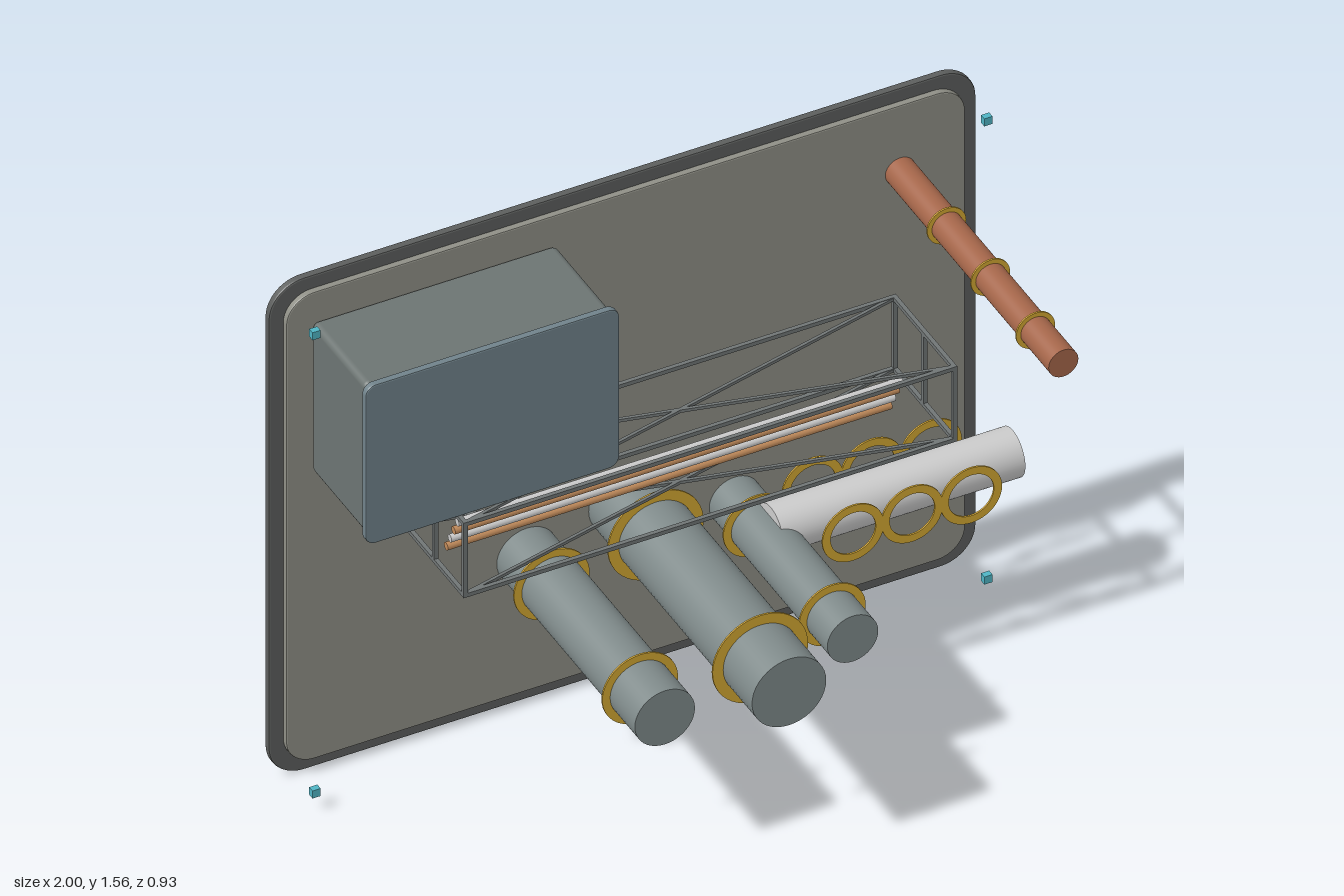
import * as THREE from 'three';
import { RoundedBoxGeometry } from 'three/addons/geometries/RoundedBoxGeometry.js';

const mat = (color) => new THREE.MeshStandardMaterial({ color });
const M = {
  backing: mat(0x5c5e5d), panel: mat(0x8f8f86), box: mat(0x6c7472), lid: mat(0x70828a),
  pipe: mat(0x7f8a8a), pale: mat(0xc4c4c4), copper: mat(0xa5664a), rod: mat(0xc08a5a),
  brass: mat(0xd4a832), frame: mat(0x707575), marker: mat(0x4fb4c4),
};
const WALL = -0.425;

function add(parent, name, geometry, material, x = 0, y = 0, z = 0) {
  const mesh = new THREE.Mesh(geometry, material);
  mesh.name = name;
  mesh.position.set(x, y, z);
  parent.add(mesh);
  return mesh;
}

// Rounded rectangular plate from z = 0 to z = depth
function plate(w, h, r, depth, bevel) {
  const a = w / 2 - bevel, b = h / 2 - bevel, c = r - bevel;
  const s = new THREE.Shape();
  s.moveTo(-a + c, -b);
  s.lineTo(a - c, -b);
  s.absarc(a - c, -b + c, c, -Math.PI / 2, 0);
  s.absarc(a - c, b - c, c, 0, Math.PI / 2);
  s.absarc(-a + c, b - c, c, Math.PI / 2, Math.PI);
  s.absarc(-a + c, -b + c, c, Math.PI, Math.PI * 1.5);
  return new THREE.ExtrudeGeometry(s, {
    depth: depth - 2 * bevel, bevelThickness: bevel, bevelSize: bevel, bevelSegments: 2, curveSegments: 10,
  }).translate(0, 0, bevel);
}

// Thin flat ring facing z
function ring(inner, outer) {
  const s = new THREE.Shape().absarc(0, 0, outer, 0, Math.PI * 2);
  s.holes.push(new THREE.Path().absarc(0, 0, inner, 0, Math.PI * 2, true));
  return new THREE.ExtrudeGeometry(s, { depth: 0.005, bevelEnabled: false, curveSegments: 24 }).translate(0, 0, -0.0025);
}

// Pipe running forward from the panel, with collars
function wallPipe(parent, name, { x, y, r, end, outer, rings, material }) {
  const g = new THREE.Group();
  g.name = name;
  parent.add(g);
  const len = end - WALL;
  add(g, name + 'Tube', new THREE.CylinderGeometry(r, r, len, 40).rotateX(Math.PI / 2), material, x, y, WALL + len / 2);
  for (const z of rings) add(g, name + 'Collar', ring(r, outer), M.brass, x, y, z);
}

// Square bar between two points
function bar(parent, name, from, to, t) {
  const a = new THREE.Vector3(...from), b = new THREE.Vector3(...to);
  const m = add(parent, name, new THREE.BoxGeometry(t, t, a.distanceTo(b)), M.frame);
  m.position.copy(a).lerp(b, 0.5);
  m.lookAt(b);
}

export function createModel() {
  const root = new THREE.Group();
  root.name = 'servicePanel';

  // Backing plate and raised panel
  add(root, 'backingPlate', plate(2, 1.56, 0.1, 0.022, 0.005), M.backing, 0, 0.78, -0.464);
  add(root, 'frontPanel', plate(1.92, 1.48, 0.08, 0.02, 0.004), M.panel, 0, 0.78, -0.444);

  // Cabinet with overhanging door and gland plate below
  add(root, 'cabinetBody', new RoundedBoxGeometry(0.692, 0.474, 0.298, 3, 0.018), M.box, -0.544, 1.194, -0.276);
  add(root, 'cabinetDoor', plate(0.718, 0.502, 0.03, 0.02, 0.004), M.lid, -0.545, 1.195, -0.121);
  add(root, 'cabinetGlandPlate', new THREE.BoxGeometry(0.5, 0.016, 0.18), M.box, -0.544, 0.953, -0.31);

  // Cable tray frame
  const tray = new THREE.Group();
  tray.name = 'cableTray';
  root.add(tray);
  const X = [-0.636, 0.748], Y = [0.712, 0.938], Z = [-0.4, -0.077], mid = (Z[0] + Z[1]) / 2, t = 0.012;
  for (const y of Y) {
    for (const z of Z) bar(tray, 'trayRail', [X[0] - t / 2, y, z], [X[1] + t / 2, y, z], t);
    for (const x of X) bar(tray, 'trayCrossbar', [x, y, Z[0]], [x, y, Z[1]], t);
    bar(tray, 'trayDiagonal', [X[0], y, Z[0]], [X[1], y, Z[1]], 0.009);
    bar(tray, 'trayDiagonal', [X[0], y, Z[1]], [X[1], y, Z[0]], 0.009);
  }
  for (const x of X) for (const z of [Z[0], mid, Z[1]]) bar(tray, 'trayPost', [x, Y[0], z], [x, Y[1], z], t);

  // Stepped cables inside the tray
  for (let i = 0; i < 4; i++) {
    const rod = new THREE.CylinderGeometry(0.011, 0.011, 1.257, 16).rotateZ(Math.PI / 2);
    add(tray, 'cable', rod, i % 2 ? M.rod : M.pale, 0.014, 0.876 - i * 0.039, -0.16 - i * 0.02);
  }

  // Pipes coming out of the panel
  wallPipe(root, 'leftPipe', { x: -0.28, y: 0.472, r: 0.085, end: 0.327, outer: 0.107, rings: [0.19, -0.29], material: M.pipe });
  wallPipe(root, 'centrePipe', { x: 0, y: 0.547, r: 0.105, end: 0.464, outer: 0.135, rings: [0.305, -0.263], material: M.pipe });
  wallPipe(root, 'rightPipe', { x: 0.308, y: 0.437, r: 0.072, end: 0.218, outer: 0.094, rings: [0.105, -0.307], material: M.pipe });
  wallPipe(root, 'copperPipe', { x: 0.776, y: 1.313, r: 0.042, end: 0.464, outer: 0.055, rings: [0.31, 0.065, -0.173], material: M.copper });

  // Side duct with pairs of rings before and behind it
  add(root, 'sideDuct', new THREE.CylinderGeometry(0.068, 0.068, 0.685, 40).rotateZ(Math.PI / 2), M.pale, 0.655, 0.472, -0.237);
  for (const x of [0.488, 0.655, 0.822])
    for (const z of [-0.128, -0.347]) add(root, 'ductRing', ring(0.064, 0.087), M.brass, x, 0.472, z);

  // Corner markers
  for (const x of [-0.95, 0.95])
    for (const y of [0.054, 1.508]) add(root, 'cornerMarker', new THREE.BoxGeometry(0.023, 0.024, 0.018), M.marker, x, y, -0.288);

  return root;
}
